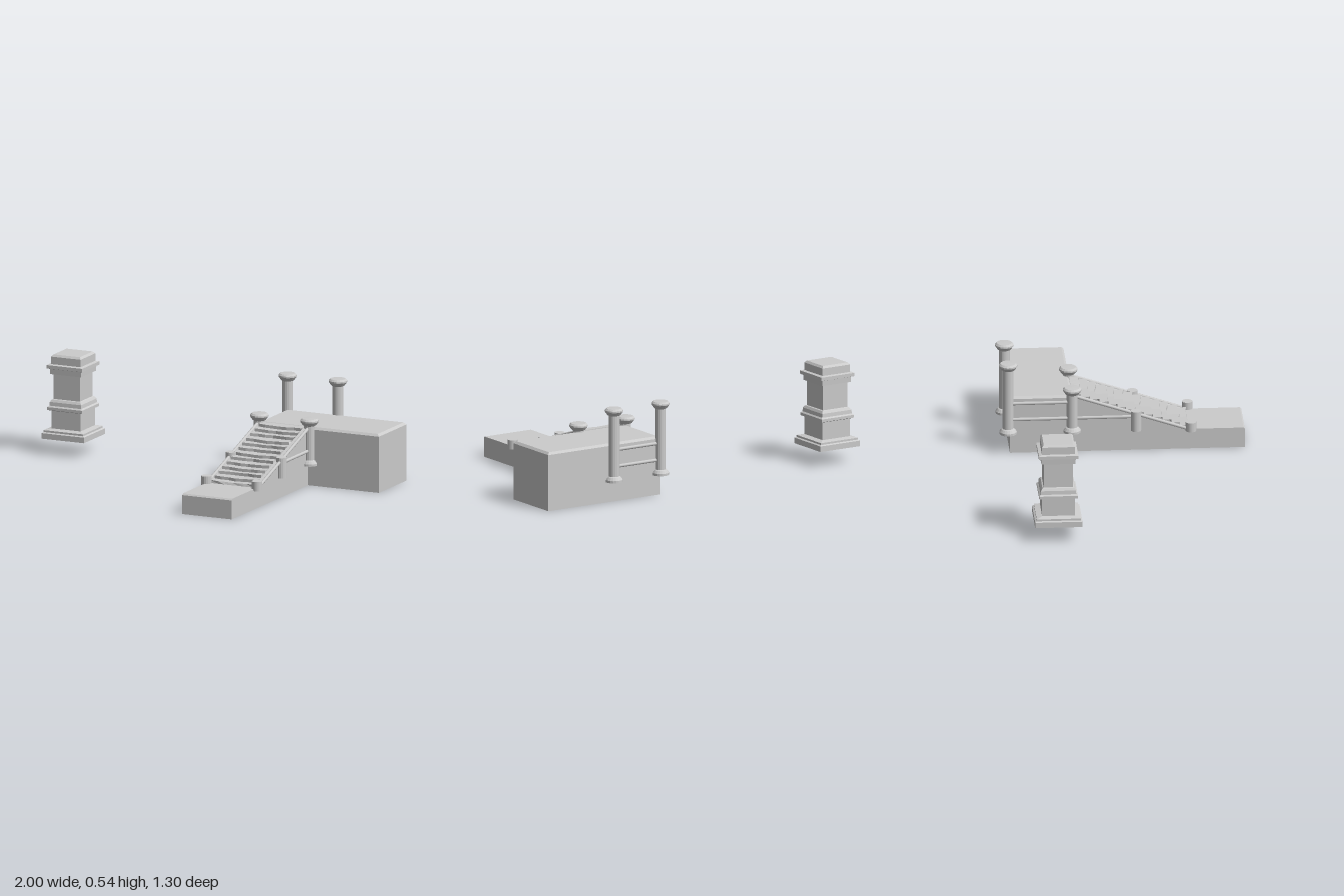
import * as THREE from 'three';

const flat = new THREE.MeshStandardMaterial({ color: 0xcccccc, flatShading: true, side: THREE.DoubleSide });
const smooth = new THREE.MeshStandardMaterial({ color: 0xcccccc, side: THREE.DoubleSide });

const X0 = 0.295, X1 = 0.585;                    // stair width
const FRONT = 0.645, FOOT = 0.35, HEAD = -0.265, BACK = -0.595;
const LOW = 0.11, HIGH = 0.315;                  // landing heights
const slopeY = z => LOW + (FOOT - z) / (FOOT - HEAD) * (HIGH - LOW);

function add(parent, name, geometry, material = flat) {
  const mesh = new THREE.Mesh(geometry, material);
  mesh.name = name;
  parent.add(mesh);
  return mesh;
}

// Open shell from four-cornered faces
function faces(quads) {
  const p = [];
  for (const [a, b, c, d] of quads) p.push(...a, ...b, ...c, ...a, ...c, ...d);
  const g = new THREE.BufferGeometry();
  g.setAttribute('position', new THREE.Float32BufferAttribute(p, 3));
  g.computeVertexNormals();
  return g;
}

const lathe = (profile, sides) =>
  new THREE.LatheGeometry(profile.map(([r, y]) => new THREE.Vector2(r, y)), sides);

// Round bar between two points
function bar(parent, name, a, b, r = 0.009) {
  const A = new THREE.Vector3(...a), B = new THREE.Vector3(...b);
  const m = add(parent, name, new THREE.CylinderGeometry(r, r, A.distanceTo(B), 10), smooth);
  m.position.copy(A).lerp(B, 0.5);
  m.quaternion.setFromUnitVectors(new THREE.Vector3(0, 1, 0), B.sub(A).normalize());
}

// Column with a flared foot and a mushroom cap
function column(parent, x, z, top) {
  const y = LOW;
  const m = add(parent, 'column', lathe([[0.046, y], [0.046, y + 0.012], [0.036, y + 0.026], [0.029, y + 0.03],
    [0.029, top - 0.04], [0.036, top - 0.036], [0.049, top - 0.018], [0.049, top - 0.01],
    [0.04, top - 0.001], [0, top]], 18).toNonIndexed());
  m.geometry.computeVertexNormals();
  m.position.set(x, 0, z);
}

// Hollow landing, open below and towards the stair
function platform() {
  const ring = (y, d) => [[X0 + d, y, HEAD - d], [1 - d, y, HEAD - d], [1 - d, y, BACK + d], [X0 + d, y, BACK + d]];
  const e = 0.012, r0 = ring(0, 0), r1 = ring(HIGH - e, 0), r2 = ring(HIGH, e);
  const q = [r2];
  for (let i = 0; i < 4; i++) {
    const j = (i + 1) % 4;
    if (i === 0) {
      q.push([[X1, 0, HEAD], r0[1], r1[1], [X1, HIGH - e, HEAD]]);
    } else {
      q.push([r0[i], r0[j], r1[j], r1[i]]);
    }
    q.push([r1[i], r1[j], r2[j], r2[i]]);
  }
  return faces(q);
}

// Lower landing, side walls and sloping curbs
function rampShell() {
  const e = 0.008, q = [];
  const edge = [[FRONT, 0], [FRONT, LOW - e], [FRONT - e, LOW], [FOOT, LOW], [HEAD, HIGH]];
  for (let i = 0; i < 4; i++) {
    const [za, ya] = edge[i], [zb, yb] = edge[i + 1];
    const spans = i < 3 ? [[X0, X1]] : [[X0, X0 + 0.022], [X1 - 0.022, X1]];
    for (const [a, b] of spans) q.push([[a, ya, za], [b, ya, za], [b, yb, zb], [a, yb, zb]]);
    if (i > 0) {
      q.push([[X1, 0, za], [X1, 0, zb], [X1, yb, zb], [X1, ya, za]],
        [[X0, 0, zb], [X0, 0, za], [X0, ya, za], [X0, yb, zb]]);
    }
  }
  return faces(q);
}

// Worn steps: a folded sheet with uneven nosings
function steps() {
  const n = 13, cols = 6, d = (FOOT - HEAD) / n;
  const w = X1 - X0 - 0.04, mid = (X0 + X1) / 2;
  const g = new THREE.PlaneGeometry(w, 1, cols, 2 * n);
  const p = g.attributes.position;
  for (let k = 0; k < p.count; k++) {
    const row = Math.floor(k / (cols + 1)), x = p.getX(k);
    const u = 1 - Math.abs(x) / (w / 2);
    const i = Math.floor(row / 2), up = Math.ceil(row / 2);
    const inner = row > 0 && row < 2 * n;
    const wear = inner ? u * (-0.006 + 0.012 * Math.sin(i * 2.3)) + 0.003 * Math.sin(x * 60 + i) : 0;
    const dip = inner ? 0.004 * u : 0;
    p.setXYZ(k, mid + x, slopeY(FOOT - up * d) - dip, FOOT - i * d + wear);
  }
  const out = g.toNonIndexed();
  out.computeVertexNormals();
  return out;
}

// Square stone pedestal with stepped mouldings
function pedestal(group) {
  const part = (name, profile) => {
    const g = lathe(profile.map(([h, y]) => [h * Math.SQRT2, y]), 4);
    g.rotateY(Math.PI / 4);
    const m = add(group, name, g.toNonIndexed());
    m.geometry.computeVertexNormals();
  };
  part('plinth', [[0, 0.085], [0.125, 0.085], [0.125, 0.115], [0.116, 0.12], [0.116, 0.13], [0.086, 0.137]]);
  part('lowerBlock', [[0.086, 0.13], [0.086, 0.232], [0.102, 0.238], [0.102, 0.253], [0.094, 0.26],
    [0.092, 0.28], [0.084, 0.292], [0.077, 0.295]]);
  part('shaft', [[0.077, 0.295], [0.077, 0.43]]);
  part('capital', [[0.077, 0.43], [0.09, 0.43], [0.091, 0.458], [0.104, 0.462], [0.104, 0.48], [0.087, 0.484],
    [0.087, 0.524], [0.077, 0.535], [0, 0.535]]);
  group.position.set(-0.875, 0, -0.425);
}

export function createModel() {
  const model = new THREE.Group();
  model.name = 'stairAndPedestal';

  const ped = new THREE.Group();
  ped.name = 'pedestal';
  pedestal(ped);
  model.add(ped);

  const stair = new THREE.Group();
  stair.name = 'staircase';
  model.add(stair);
  add(stair, 'upperLanding', platform());
  add(stair, 'rampBody', rampShell());
  add(stair, 'steps', steps());

  // Posts and rails on both sides of the stair
  for (const x of [0.296, 0.592]) {
    column(stair, x, -0.605, 0.508);
    column(stair, x, -0.267, 0.362);
    for (const [z, y0, y1] of [[0.36, 0.1, 0.15], [0.07, LOW, 0.22]]) {
      const post = add(stair, 'lowPost', new THREE.CylinderGeometry(0.028, 0.028, y1 - y0, 16));
      post.position.set(x, (y0 + y1) / 2, z);
    }
    bar(stair, 'slopingRail', [x, slopeY(0.36), 0.36], [x, slopeY(-0.25), -0.25]);
    bar(stair, 'sideRail', [x, 0.188, 0.07], [x, 0.188, -0.267]);
  }

  // Rails round the outer corner of the landing
  for (const y of [0.19, 0.28]) {
    bar(stair, 'backRail', [0.296, y, -0.602], [0.592, y, -0.602]);
    bar(stair, 'landingRail', [0.29, y, -0.602], [0.29, y, -0.267]);
  }
  return model;
}
